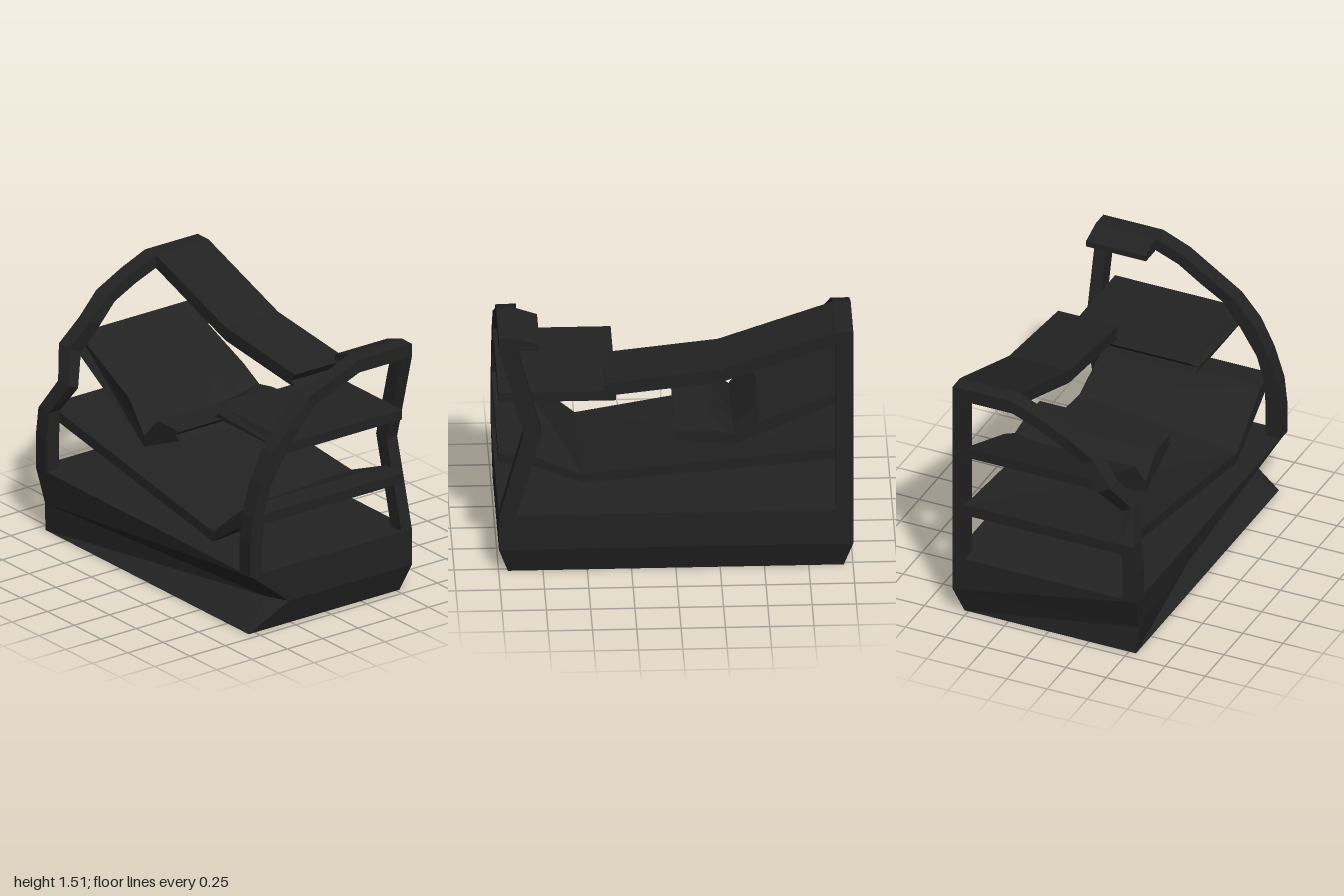
import * as THREE from 'three';

const char = new THREE.MeshStandardMaterial({ color: 0x222222 });
char.name = 'charred concrete';

// Closed flat-faced solid through matching loops of points
function skin(rings) {
  const tris = [], n = rings[0].length;
  for (let k = 0; k + 1 < rings.length; k++) {
    for (let i = 0; i < n; i++) {
      const j = (i + 1) % n, A = rings[k], B = rings[k + 1];
      tris.push([A[i], A[j], B[j]], [A[i], B[j], B[i]]);
    }
  }
  const first = rings[0], last = rings[rings.length - 1];
  for (let i = 1; i + 1 < n; i++) {
    tris.push([first[0], first[i + 1], first[i]], [last[0], last[i], last[i + 1]]);
  }
  // turn the faces outward
  const v = tris.map(t => t.map(p => new THREE.Vector3(...p)));
  const volume = v.reduce((s, [a, b, c]) => s + a.dot(b.clone().cross(c)), 0);
  const pts = v.flatMap(([a, b, c]) => (volume < 0 ? [a, c, b] : [a, b, c]));
  const g = new THREE.BufferGeometry().setFromPoints(pts);
  g.computeVertexNormals();
  return g;
}

// Side profile of [z, y] points, extruded across x and bent by a rule
function slab(profile, x0, x1, bend, steps = 1) {
  const shape = new THREE.Shape(profile.map(p => new THREE.Vector2(...p)));
  let g = new THREE.ExtrudeGeometry(shape, { depth: x1 - x0, steps, bevelEnabled: false });
  g.rotateY(-Math.PI / 2).translate(x1, 0, 0);
  if (g.index) g = g.toNonIndexed();
  if (bend) {
    const pos = g.attributes.position, v = new THREE.Vector3();
    for (let i = 0; i < pos.count; i++) {
      bend(v.fromBufferAttribute(pos, i));
      pos.setXYZ(i, v.x, v.y, v.z);
    }
  }
  g.computeVertexNormals();
  return g;
}

// Curved rib: outer and inner points in [x, y]
const OUTER = [[-0.573, 0.37], [-0.573, 0.57], [-0.555, 0.735], [-0.495, 0.92], [-0.41, 1.09],
  [-0.29, 1.23], [-0.145, 1.35], [0.03, 1.44], [0.2, 1.51]];
const INNER = [[-0.485, 0.37], [-0.485, 0.57], [-0.475, 0.735], [-0.43, 0.89], [-0.33, 1.05],
  [-0.215, 1.2], [-0.09, 1.3], [0.06, 1.375], [0.2, 1.43]];
function rib(zOut, zIn, dents) {
  return skin(OUTER.map(([ox, oy], i) => {
    const [ix, iy] = INNER[i], d = dents[i] || 0;
    return [[ox, oy, zOut + d], [ox, oy, zIn + d], [ix, iy, zIn + d], [ix, iy, zOut + d]];
  }));
}

export function createModel() {
  const group = new THREE.Group();
  const add = (name, geometry) => {
    const mesh = new THREE.Mesh(geometry, char);
    mesh.name = name;
    group.add(mesh);
    return mesh;
  };

  // foundation with tapered foot and a crushed front corner
  add('foundation', skin([
    [[0.523, 0, 0.948], [0.523, 0, -0.948], [-0.545, 0, -0.948], [-0.545, 0, 0.948], [-0.544, 0, 0.948]],
    [[0.573, 0.16, 1], [0.573, 0.16, -1], [-0.557, 0.17, -0.935], [-0.36, 0.157, 0.86], [-0.3, 0.16, 1]],
    [[0.573, 0.377, 1], [0.573, 0.377, -1], [-0.573, 0.377, -1], [-0.573, 0.377, 1], [-0.572, 0.377, 1]],
  ]));

  // curved ribs, each with its own dents
  add('frontRib', rib(1, 0.9, { 6: -0.025 }));
  add('backRib', rib(-1, -0.9, { 3: 0.105, 5: 0.03 }));

  // posts
  const post = add('backPost', new THREE.BoxGeometry(0.073, 1.14, 0.1));
  post.position.set(0.5365, 0.94, -0.95);
  add('frontBuckledPost', slab([[0.9, 0.37], [1, 0.37], [0.86, 0.9], [1, 1.44], [0.9, 1.44], [0.76, 0.9]], 0.5, 0.573));

  // second floor, sagging toward the curved side
  add('secondFloor', slab(
    [[1, 0.675], [1, 0.735], [0.85, 0.735], [0.53, 0.6], [-1, 0.737], [-1, 0.672], [0.53, 0.54], [0.85, 0.672]],
    -0.48, 0.5,
    v => { if (Math.abs(v.z - 0.53) < 0.01) v.y -= 0.13 * (0.5 - v.x) / 0.98; }));

  // third floor, snapped in two
  const slantEdge = v => { if (v.x < -0.3 && v.y > 1.1) v.x = -0.275; };
  add('thirdFloorFront', slab(
    [[1, 1.065], [1, 1.125], [0.335, 1.125], [0.36, 1.095], [0.335, 1.065]], -0.315, 0.5, slantEdge));
  add('thirdFloorBack', slab(
    [[-1, 1.06], [-1, 1.12], [-0.47, 0.91], [-0.33, 0.835], [-0.2, 0.86], [0, 0.86], [-0.035, 0.83], [0, 0.805], [-0.33, 0.77]],
    -0.315, 0.5,
    v => {
      slantEdge(v);
      if (Math.abs(v.z + 0.33) < 0.01) v.y -= 0.11 * Math.min(1, (0.5 - v.x) / 0.62);
    }, 4));

  // roof: fallen strip at the back, broken stub at the front
  add('fallenRoof', slab(
    [[-1, 1.43], [-1, 1.51], [-0.9, 1.51], [-0.25, 1.285], [0.4, 1.213], [0.365, 1.165], [0.4, 1.132], [-0.25, 1.205], [-0.9, 1.43]],
    0.2, 0.573));
  add('roofStub', slab([[1, 1.43], [1, 1.51], [0.9, 1.51], [0.77, 1.465], [0.77, 1.43]], 0.2, 0.573));

  return group;
}
